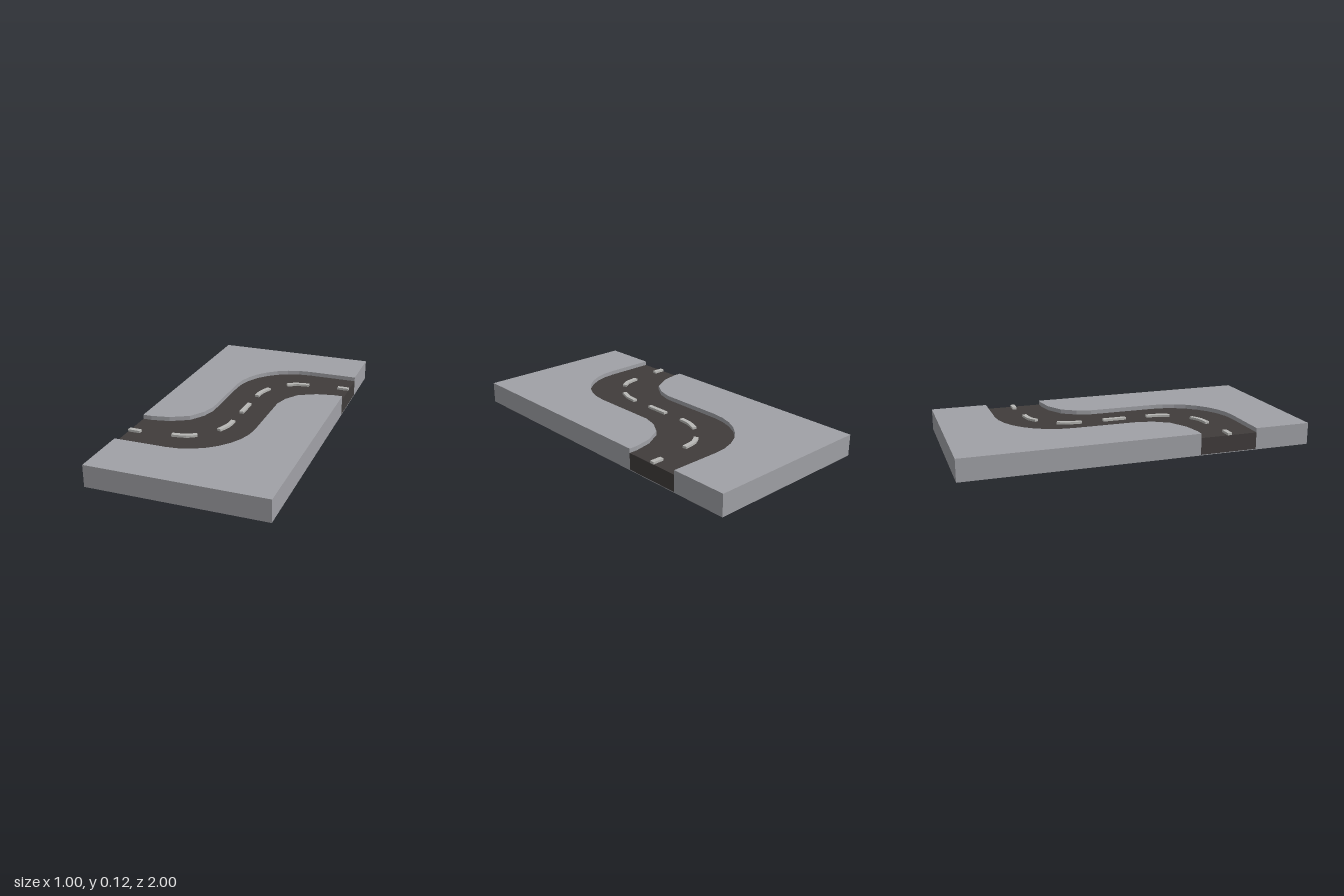
import * as THREE from 'three';

const BASE = 0.004, ROAD_TOP = 0.1, BANK_TOP = 0.125, STRIPE_TOP = 0.113;

const material = (color) => new THREE.MeshStandardMaterial({ color, flatShading: true });
const v = (x, z) => new THREE.Vector2(x, z);
const halfTurn = (points) => points.map((p) => v(-p.x, -p.y));

// Extrude an (x, z) outline vertically between two heights
function slab(name, points, bottom, top, mat) {
  const geometry = new THREE.ExtrudeGeometry(new THREE.Shape(points), {
    depth: top - bottom, bevelEnabled: false,
  });
  geometry.rotateX(Math.PI / 2).translate(0, top, 0);
  const mesh = new THREE.Mesh(geometry, mat);
  mesh.name = name;
  return mesh;
}

// Outline of a narrow band that follows a centre line
function ribbon(points, width) {
  const curve = new THREE.SplineCurve(points);
  const a = [], b = [];
  for (let i = 0; i <= 6; i++) {
    const p = curve.getPoint(i / 6), t = curve.getTangent(i / 6);
    const n = v(-t.y, t.x).multiplyScalar(width / 2);
    a.push(p.clone().add(n));
    b.unshift(p.clone().sub(n));
  }
  return [...a, ...b];
}

// One kerb of the S-bend: wide outer arc, straight, then tighter inner bend
function kerbLine() {
  const points = [v(0.5, -0.67)];
  for (let i = 0; i <= 8; i++) {
    const angle = (i / 8) * Math.PI / 2;
    points.push(v(0.203 - 0.37 * Math.sin(angle), -0.3 - 0.37 * Math.cos(angle)));
  }
  points.push(v(-0.167, 0.09), v(-0.19, 0.175), v(-0.243, 0.257),
    v(-0.345, 0.312), v(-0.45, 0.333), v(-0.5, 0.333));
  return points;
}

export function createModel() {
  const group = new THREE.Group();
  group.name = 'roadTile';
  const ground = material(0xa0a1a6), asphalt = material(0x403c3b), paint = material(0xb8b8b5);

  // Underside plate
  const plate = [v(-0.5, -1), v(0.5, -1), v(0.5, 1), v(-0.5, 1)];
  group.add(slab('basePlate', plate, 0, BASE, ground));

  // Raised banks on both sides of the road
  const kerb = kerbLine();
  const bank = [...kerb, v(-0.5, -1), v(0.5, -1)];
  group.add(slab('backBank', bank, BASE, BANK_TOP, ground));
  group.add(slab('frontBank', halfTurn(bank), BASE, BANK_TOP, ground));

  // Sunken road
  group.add(slab('road', [...kerb, ...halfTurn(kerb)], BASE, ROAD_TOP, asphalt));

  // Dashed centre line
  const dashes = [
    [v(0, -0.2), v(0.006, -0.27), v(0.032, -0.34)],
    [v(0.118, -0.44), v(0.17, -0.472), v(0.25, -0.485)],
    [v(0.43, -0.505), v(0.5, -0.505)],
  ];
  const addDash = (points) =>
    group.add(slab('laneDash', ribbon(points, 0.026), ROAD_TOP, STRIPE_TOP, paint));
  addDash([v(0, -0.07), v(0, 0.07)]);
  for (const dash of dashes) {
    addDash(dash);
    addDash(halfTurn(dash));
  }
  return group;
}
